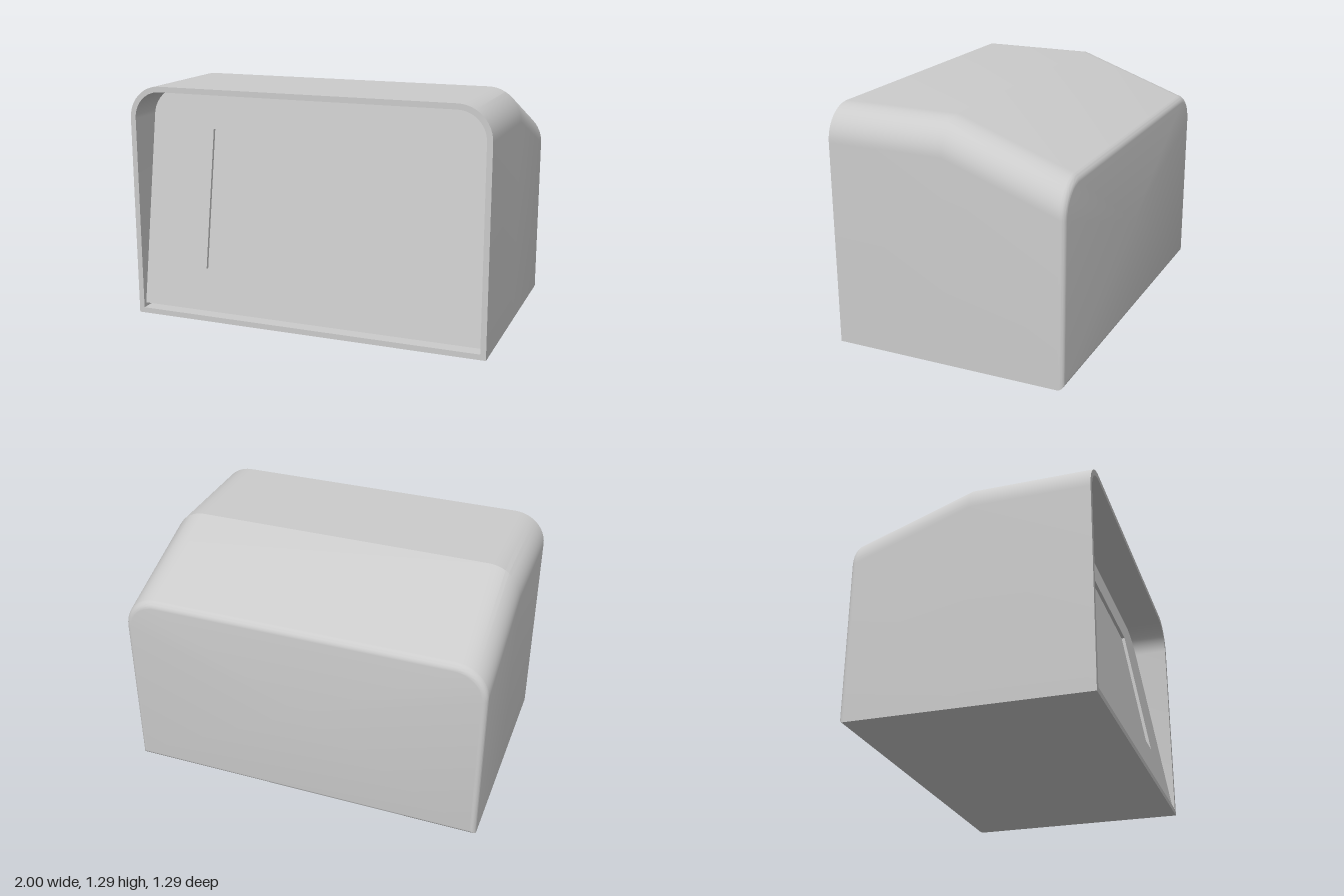
import * as THREE from 'three';
import { toCreasedNormals } from 'three/addons/utils/BufferGeometryUtils.js';

const DEPTH = 0.645, HEIGHT = 1.29, BACK_HEIGHT = 1.06;
const WALL = 0.03, CORNER = 0.18, FILLET = 0.03, ARC = 12;

// Height of the roof: level in front, sloping down behind the middle
const roof = z => (z >= 0 ? HEIGHT : HEIGHT + (HEIGHT - BACK_HEIGHT) * z / DEPTH);

// Counter-clockwise outline with square bottom corners and rounded top corners
function outline(halfWidth, bottom, top, r) {
  const points = [[-halfWidth, bottom], [halfWidth, bottom]];
  for (const side of [1, -1]) {
    for (let i = 0; i <= ARC; i++) {
      const a = Math.PI / 2 * (side > 0 ? i / ARC : 1 + i / ARC);
      points.push([side * (halfWidth - r) + r * Math.cos(a), top - r + r * Math.sin(a)]);
    }
  }
  return points;
}

// Cross-section of the case at depth z, pulled in by an inset
function section(z, inset) {
  return outline(1 - inset, inset, roof(z) - inset, CORNER - inset).map(([x, y]) => [x, y, z]);
}

// One closed skin: inner back, inner walls, front rim, outer walls, outer back
function caseGeometry() {
  const centre = z => section(z, 0).map(() => [0, 0.55, z]);
  const innerBack = -DEPTH + WALL;
  const rings = [centre(innerBack), section(innerBack, WALL), section(0, WALL),
    section(DEPTH, WALL), section(DEPTH, 0), section(0, 0)];
  for (let i = 0; i <= 8; i++) {
    const a = Math.PI / 2 * i / 8;
    rings.push(section(-DEPTH + FILLET * (1 - Math.sin(a)), FILLET * (1 - Math.cos(a))));
  }
  rings.push(centre(-DEPTH));

  const n = rings[0].length, index = [];
  for (let k = 0; k < rings.length - 1; k++) {
    for (let i = 0; i < n; i++) {
      const j = (i + 1) % n;
      const a = k * n + i, b = k * n + j, c = a + n, d = b + n;
      if (k > 0) index.push(a, c, b);
      if (k < rings.length - 2) index.push(b, c, d);
    }
  }
  const geometry = new THREE.BufferGeometry();
  geometry.setAttribute('position', new THREE.Float32BufferAttribute(rings.flat(2), 3));
  geometry.setIndex(index);
  return toCreasedNormals(geometry, 0.3);
}

export function createModel() {
  const model = new THREE.Group();
  model.name = 'desktopCase';
  const material = new THREE.MeshStandardMaterial({ color: 0xcccccc });
  const add = (name, geometry, parent) => {
    const mesh = new THREE.Mesh(geometry, material);
    mesh.name = name;
    parent.add(mesh);
    return mesh;
  };

  add('caseShell', caseGeometry(), model);

  // Front panel leans back from the lower rim; local heights run along its slope
  const tilt = 0.17, base = 0.055, slope = y => (y - base) / Math.cos(tilt);
  const front = new THREE.Group();
  front.name = 'frontPanel';
  front.position.set(0, base, DEPTH - 0.015);
  front.rotation.x = -tilt;
  model.add(front);

  // Panel plate with the screen opening
  const toVectors = points => points.map(([x, y]) => new THREE.Vector2(x, y));
  const plate = new THREE.Shape(toVectors(outline(0.967, 0, slope(1.257), 0.148)));
  const left = -0.595, right = 0.57, low = slope(0.285), high = slope(1.045);
  plate.holes.push(new THREE.Path(toVectors([[left, low], [left, high], [right, high], [right, low]])));
  const plateGeometry = new THREE.ExtrudeGeometry(plate, { depth: 0.03, bevelEnabled: false });
  plateGeometry.translate(0, 0, -0.03);
  add('bezel', toCreasedNormals(plateGeometry, 0.3), front);

  // Screen set slightly behind the bezel
  const screen = add('screen', new THREE.BoxGeometry(right - left + 0.02, high - low + 0.02, 0.02), front);
  screen.position.set((left + right) / 2, (low + high) / 2, -0.028);

  return model;
}
